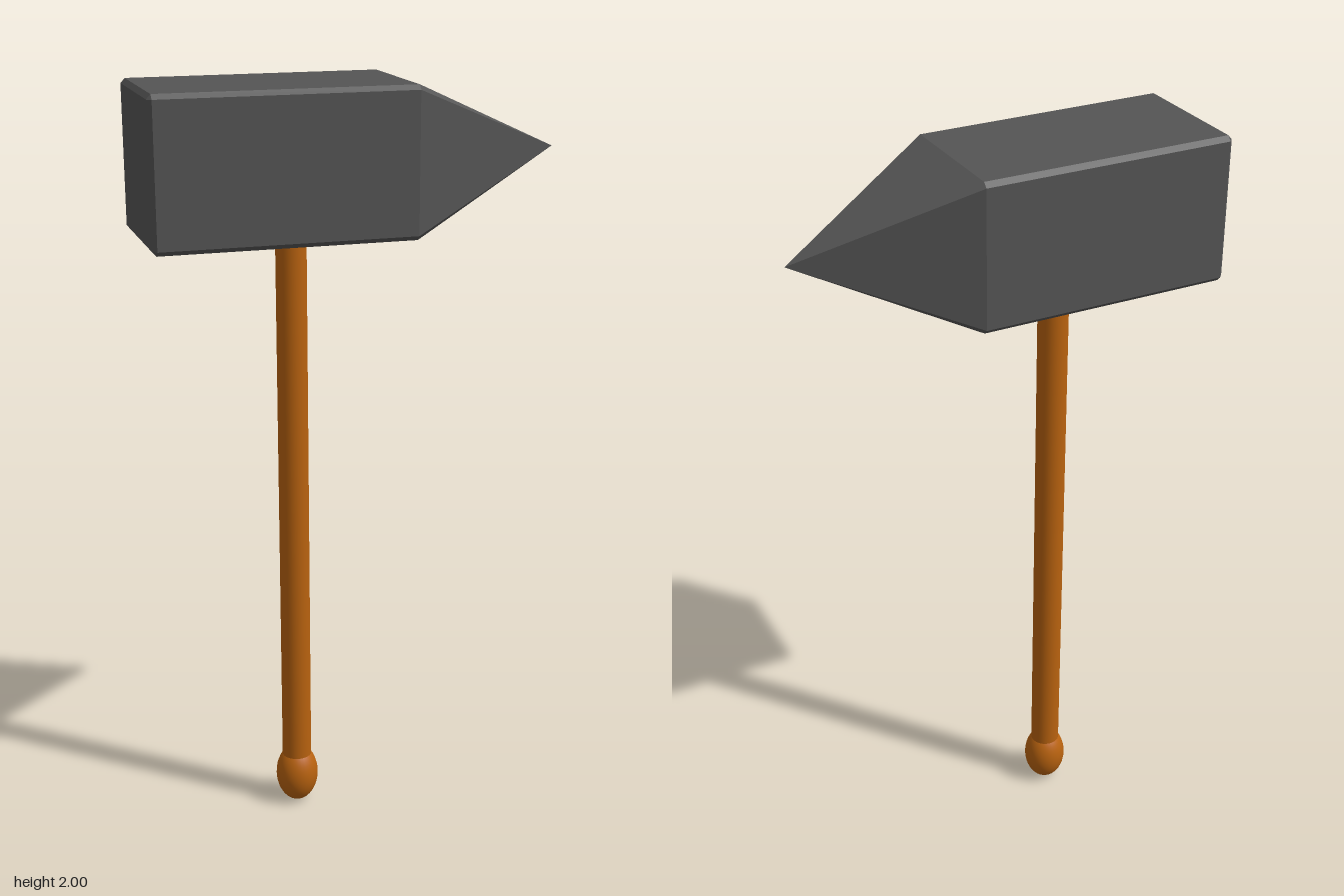
import * as THREE from 'three';

const HANDLE_X = -0.16;
const HEAD_Y = 1.81;

// Chamfered rectangular ring in the YZ plane at a given x
function ring(x, halfY, halfZ, c) {
  return [
    [halfY, halfZ - c], [halfY - c, halfZ], [-halfY + c, halfZ], [-halfY, halfZ - c],
    [-halfY, -halfZ + c], [-halfY + c, -halfZ], [halfY - c, -halfZ], [halfY, -halfZ + c],
  ].map(([y, z]) => new THREE.Vector3(x, HEAD_Y + y, z));
}

// Flat-faced skin through successive rings, closed at both ends by a point
function loft(rings, start, end) {
  const points = [];
  const n = rings[0].length;
  for (let i = 0; i < n; i++) {
    const j = (i + 1) % n;
    points.push(start, rings[0][j], rings[0][i]);
    for (let r = 0; r < rings.length - 1; r++) {
      const a = rings[r], b = rings[r + 1];
      points.push(a[i], a[j], b[j], a[i], b[j], b[i]);
    }
    const last = rings[rings.length - 1];
    points.push(last[i], last[j], end);
  }
  const geometry = new THREE.BufferGeometry().setFromPoints(points);
  geometry.computeVertexNormals();
  return geometry;
}

export function createModel() {
  const group = new THREE.Group();
  const iron = new THREE.MeshStandardMaterial({ color: 0x555555, flatShading: true });
  const wood = new THREE.MeshStandardMaterial({ color: 0xb8620f });

  const add = (name, geometry, material, x = 0, y = 0) => {
    const mesh = new THREE.Mesh(geometry, material);
    mesh.name = name;
    mesh.position.set(x, y, 0);
    group.add(mesh);
    return mesh;
  };

  // Head: bevelled striking face, square block and pyramid spike
  const rings = [
    ring(-0.547, 0.178, 0.171, 0.001),
    ring(-0.536, 0.19, 0.183, 0.012),
    ring(0.12, 0.19, 0.183, 0.012),
  ];
  add('hammerHead', loft(rings,
    new THREE.Vector3(-0.547, HEAD_Y, 0), new THREE.Vector3(0.547, HEAD_Y, 0)), iron);

  // Handle shaft, let slightly into the head
  const bottom = 0.12, top = 1.66;
  add('handle', new THREE.CylinderGeometry(0.04, 0.04, top - bottom, 32),
    wood, HANDLE_X, (top + bottom) / 2);

  // Egg-shaped pommel
  add('pommel', new THREE.SphereGeometry(1, 32, 20), wood, HANDLE_X, 0.083)
    .scale.set(0.058, 0.083, 0.058);

  return group;
}
